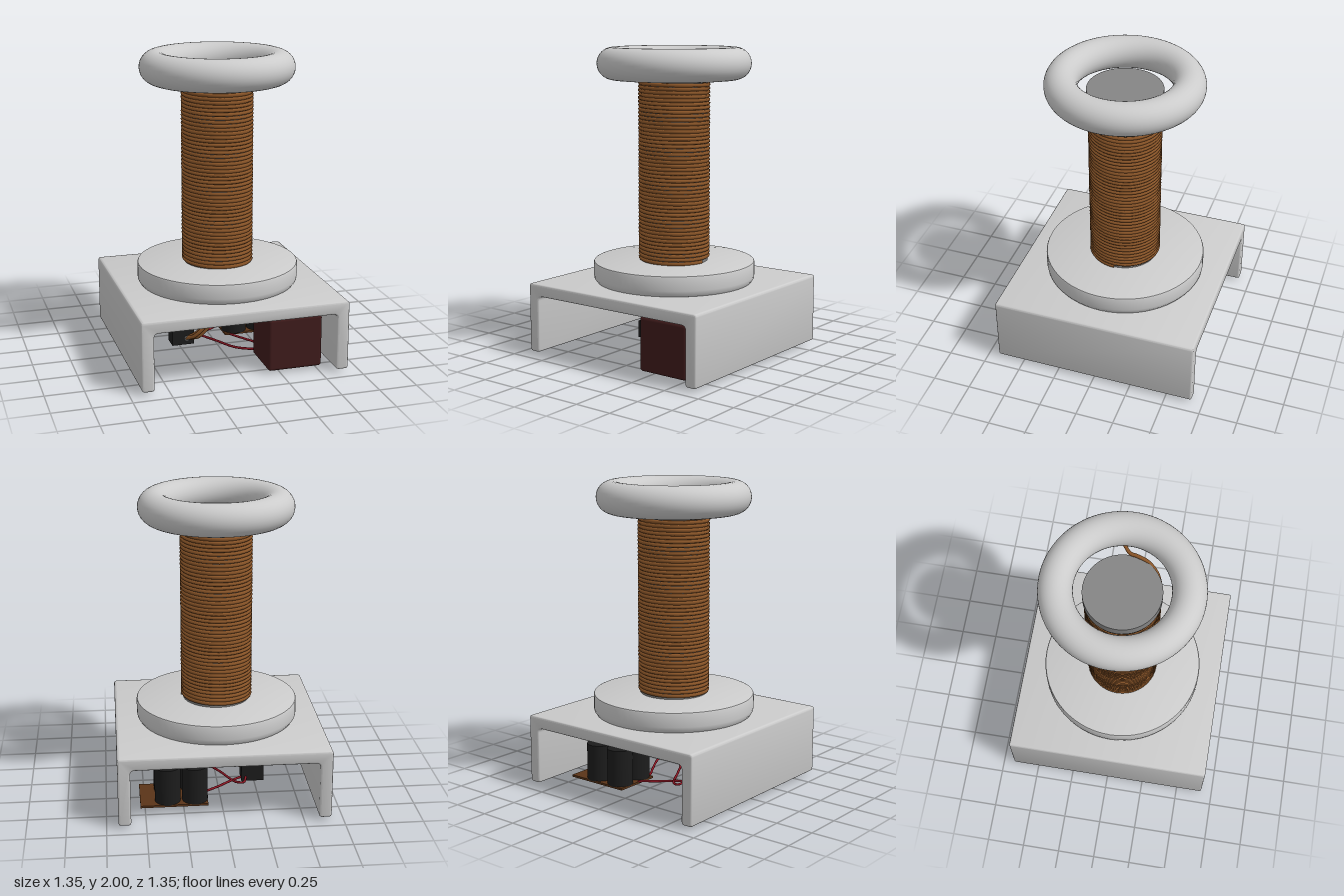
import * as THREE from 'three';
import { toCreasedNormals } from 'three/addons/utils/BufferGeometryUtils.js';
import { RoundedBoxGeometry } from 'three/addons/geometries/RoundedBoxGeometry.js';

const mat = (color) => new THREE.MeshStandardMaterial({ color });

export function createModel() {
  const model = new THREE.Group();
  const grey = mat(0xcccccc), darkGrey = mat(0x858585), copper = mat(0x8a5528);
  const black = mat(0x1c1c1c), maroon = mat(0x3f1b1b), red = mat(0x8a1522), boardBrown = mat(0x5a3418);

  const add = (name, geometry, material, x = 0, y = 0, z = 0) => {
    const mesh = new THREE.Mesh(geometry, material);
    mesh.name = name;
    mesh.position.set(x, y, z);
    model.add(mesh);
    return mesh;
  };
  const wire = (name, points, radius, material) => {
    const curve = new THREE.CatmullRomCurve3(points.map((p) => new THREE.Vector3(...p)));
    return add(name, new THREE.TubeGeometry(curve, 48, radius, 8), material);
  };

  // Channel-shaped base, open at front and back, with rounded corners
  const W = 0.675, IN = 0.595, BOT = 0.02, TOP = 0.475, UNDER = 0.395, r = 0.02, bevel = 0.012;
  const s = new THREE.Shape();
  s.moveTo(-W + r, BOT);
  s.quadraticCurveTo(-W, BOT, -W, BOT + r);
  s.lineTo(-W, TOP - r);
  s.quadraticCurveTo(-W, TOP, -W + r, TOP);
  s.lineTo(W - r, TOP);
  s.quadraticCurveTo(W, TOP, W, TOP - r);
  s.lineTo(W, BOT + r);
  s.quadraticCurveTo(W, BOT, W - r, BOT);
  s.lineTo(IN + r, BOT);
  s.quadraticCurveTo(IN, BOT, IN, BOT + r);
  s.lineTo(IN, UNDER - 0.03);
  s.quadraticCurveTo(IN, UNDER, IN - 0.03, UNDER);
  s.lineTo(-IN + 0.03, UNDER);
  s.quadraticCurveTo(-IN, UNDER, -IN, UNDER - 0.03);
  s.lineTo(-IN, BOT + r);
  s.quadraticCurveTo(-IN, BOT, -IN - r, BOT);
  const baseGeo = new THREE.ExtrudeGeometry(s, {
    depth: 2 * (W - bevel), curveSegments: 5,
    bevelEnabled: true, bevelSize: bevel, bevelThickness: bevel, bevelOffset: -bevel, bevelSegments: 3,
  });
  add('base', toCreasedNormals(baseGeo, 0.6), grey, 0, 0, -W + bevel);

  // Round plinth with softened rims
  const plinth = [[0, 0.47], [0.49, 0.47], [0.515, 0.477], [0.527, 0.495], [0.53, 0.515],
    [0.53, 0.598], [0.526, 0.607], [0.518, 0.61], [0, 0.61]].map(([x, y]) => new THREE.Vector2(x, y));
  add('plinth', toCreasedNormals(new THREE.LatheGeometry(plinth, 64), 0.7), grey);

  // Core tube, cap and top ring
  add('core', new THREE.CylinderGeometry(0.22, 0.22, 1.24, 48), darkGrey, 0, 1.22, 0);
  add('coreCap', new THREE.CylinderGeometry(0.24, 0.24, 0.07, 48), darkGrey, 0, 1.83, 0);
  const ring = add('topRing', new THREE.TorusGeometry(0.395, 0.104, 32, 96), grey, 0, 1.896, 0);
  ring.rotation.x = Math.PI / 2;

  // Copper winding
  const TURNS = 48;
  class Helix extends THREE.Curve {
    getPoint(t, target = new THREE.Vector3()) {
      const a = t * TURNS * Math.PI * 2;
      return target.set(0.222 * Math.cos(a), 0.618 + t * 1.17, 0.222 * Math.sin(a));
    }
    getPointAt(t, target) { return this.getPoint(t, target); }
    getTangentAt(t, target) { return this.getTangent(t, target); }
  }
  add('winding', new THREE.TubeGeometry(new Helix(), TURNS * 40, 0.0128, 6), copper);

  // Lead from the winding to the ring
  wire('topLead', [[0.1, 1.785, 0.215], [0.16, 1.83, 0.185], [0.215, 1.86, 0.12],
    [0.238, 1.872, 0.05], [0.25, 1.87, 0.005], [0.305, 1.87, -0.04]], 0.012, copper);

  // Battery block under the base
  add('battery', new RoundedBoxGeometry(0.36, 0.35, 0.33, 4, 0.02), maroon, 0.35, 0.192, 0.415);

  // Circuit board with four capacitors
  add('circuitBoard', new THREE.BoxGeometry(0.44, 0.014, 0.32), boardBrown, 0.31, 0.02, -0.27);
  for (const x of [0.172, 0.35]) {
    for (const z of [-0.35, -0.18]) {
      add('capacitor', new THREE.CylinderGeometry(0.084, 0.084, 0.245, 32), black, x, 0.146, z);
    }
  }

  // Switch block with a small round terminal
  add('switchBlock', new THREE.BoxGeometry(0.15, 0.115, 0.11), black, -0.235, 0.08, -0.06);
  add('terminal', new THREE.TorusGeometry(0.014, 0.005, 8, 20), darkGrey, -0.21, 0.065, -0.004);

  // Copper leads up to the underside of the base
  wire('leadA', [[-0.21, 0.065, -0.01], [-0.17, 0.1, 0.05], [-0.08, 0.21, 0.08],
    [-0.04, 0.3, 0.06], [-0.055, 0.4, 0.03]], 0.013, copper);
  wire('leadB', [[-0.19, 0.065, -0.01], [-0.14, 0.09, 0.04], [-0.06, 0.19, 0.07],
    [0.0, 0.29, 0.08], [0.07, 0.345, 0.06], [0.13, 0.395, 0.03]], 0.013, copper);
  wire('leadC', [[-0.2, 0.07, -0.01], [-0.13, 0.13, 0.03], [-0.05, 0.25, 0.02], [0.0, 0.345, 0.0],
    [0.08, 0.365, -0.02], [0.25, 0.37, -0.03], [0.38, 0.378, -0.03], [0.43, 0.395, -0.03]], 0.012, copper);

  // Red supply wires
  wire('switchWire', [[-0.17, 0.04, -0.08], [-0.1, 0.036, -0.12], [0.0, 0.034, -0.2],
    [0.08, 0.03, -0.25], [0.12, 0.012, -0.25]], 0.008, red);
  wire('batteryWire', [[0.3, 0.05, 0.26], [0.27, 0.03, 0.15], [0.2, 0.022, 0.02],
    [0.14, 0.02, -0.08], [0.12, 0.009, -0.15]], 0.008, red);
  wire('loopWire', [[-0.19, 0.05, -0.11], [-0.17, 0.04, -0.17], [-0.12, 0.035, -0.15],
    [-0.02, 0.04, 0.02], [0.08, 0.036, 0.17], [0.22, 0.04, 0.26]], 0.008, red);

  return model;
}
